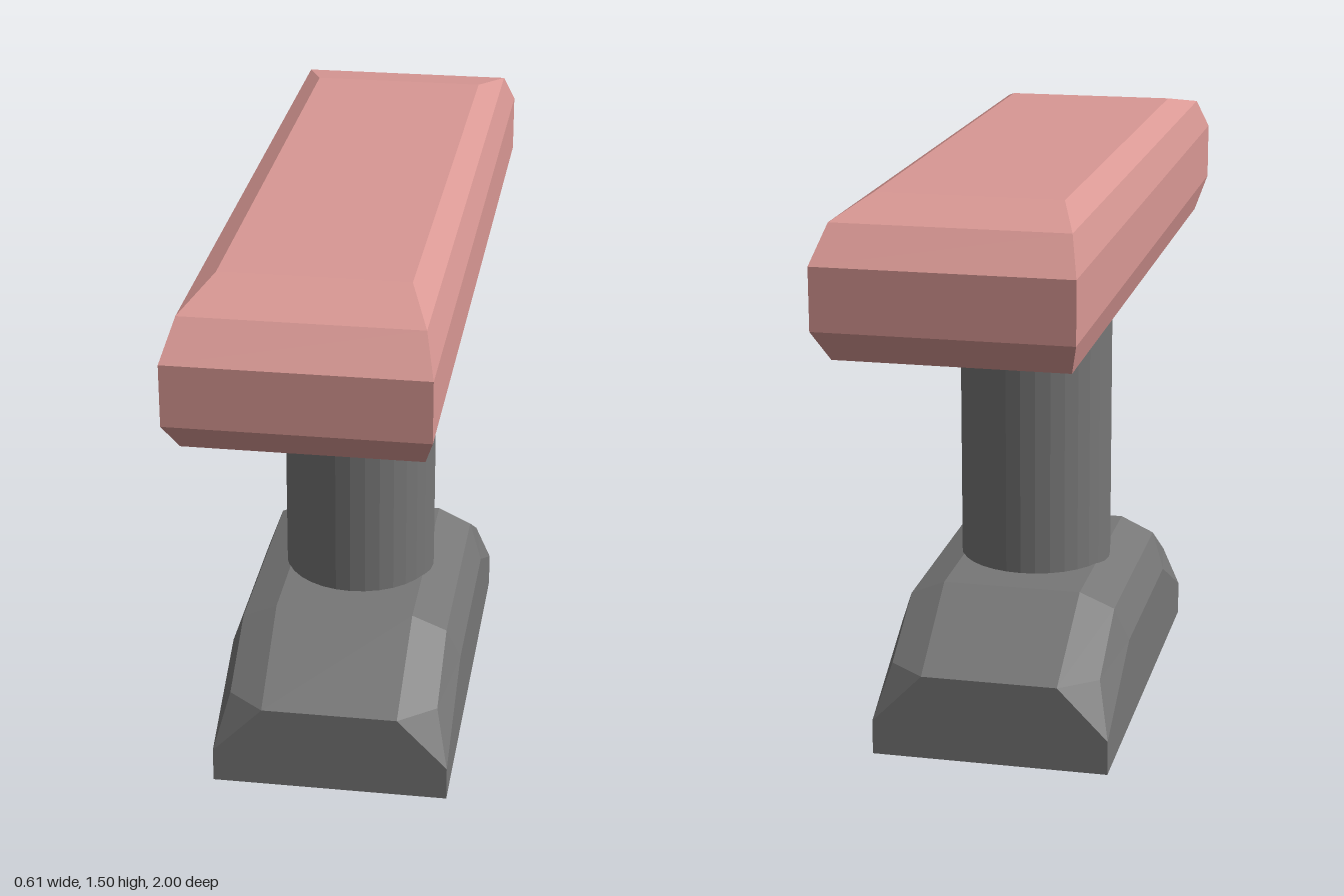
import * as THREE from 'three';

// Each row describes one quadrant of a ring: [front, diagonal, side] points.
// The quadrant is mirrored into a closed 12-point ring, and rings are skinned and capped.
function loft(rows) {
  const rings = rows.map((row) => {
    const ring = [];
    [[1, 1], [1, -1], [-1, -1], [-1, 1]].forEach(([sx, sz]) => {
      const order = sx * sz > 0 ? row : [...row].reverse();
      order.forEach(([x, y, z]) => ring.push(new THREE.Vector3(sx * x, y, sz * z)));
    });
    return ring;
  });

  const positions = [];
  const tri = (a, b, c) => {
    const area = b.clone().sub(a).cross(c.clone().sub(a)).length();
    if (area > 1e-7) [a, b, c].forEach((p) => positions.push(p.x, p.y, p.z));
  };

  const n = rings[0].length;
  for (let i = 0; i < rings.length - 1; i++) {
    for (let j = 0; j < n; j++) {
      const k = (j + 1) % n;
      tri(rings[i][j], rings[i][k], rings[i + 1][k]);
      tri(rings[i][j], rings[i + 1][k], rings[i + 1][j]);
    }
  }
  const bottom = rings[0];
  const top = rings[rings.length - 1];
  for (let j = 1; j < n - 1; j++) {
    tri(top[0], top[j], top[j + 1]);
    tri(bottom[0], bottom[j + 1], bottom[j]);
  }

  const geometry = new THREE.BufferGeometry();
  geometry.setAttribute('position', new THREE.Float32BufferAttribute(positions, 3));
  geometry.computeVertexNormals();
  return geometry;
}

// A plain rectangular row: all three quadrant points share the corner.
const corner = (x, y, z) => [[x, y, z], [x, y, z], [x, y, z]];

export function createModel() {
  const model = new THREE.Group();
  const grey = new THREE.MeshStandardMaterial({ color: 0x777777, flatShading: true });
  const pink = new THREE.MeshStandardMaterial({ color: 0xd99894, flatShading: true });

  const add = (name, geometry, material) => {
    const mesh = new THREE.Mesh(geometry, material);
    mesh.name = name;
    model.add(mesh);
    return mesh;
  };

  // Foot block with chamfered ends and shoulders
  add('base', loft([
    corner(0.305, 0, 0.57),
    corner(0.305, 0.09, 0.57),
    [[0.175, 0.223, 0.57], [0.27, 0.223, 0.495], [0.305, 0.245, 0.27]],
    [[0.18, 0.38, 0.305], [0.27, 0.34, 0.3], [0.27, 0.34, 0.3]],
    corner(0.18, 0.38, 0.305),
  ]), grey);

  // Round post, sunk slightly into the base and the seat
  add('post', new THREE.CylinderGeometry(0.2, 0.2, 0.82, 32), grey).position.y = 0.73;

  // Padded seat with two bevels above and below
  add('seat', loft([
    corner(0.225, 1.105, 0.735),
    corner(0.28, 1.14, 0.92),
    corner(0.305, 1.225, 1),
    corner(0.305, 1.375, 1),
    corner(0.28, 1.46, 0.92),
    corner(0.225, 1.495, 0.735),
  ]), pink);

  return model;
}
